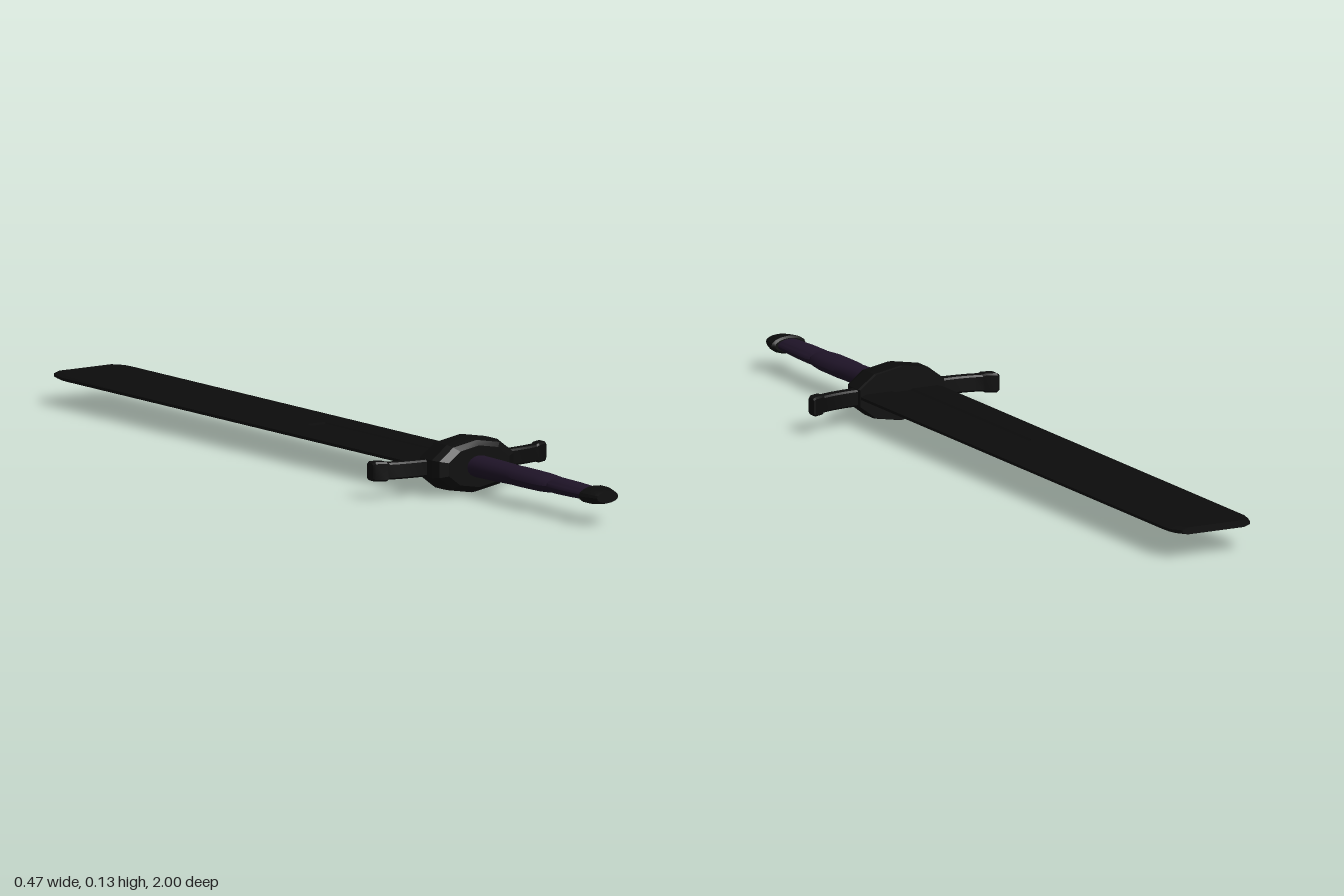
import * as THREE from 'three';
import { toCreasedNormals } from 'three/addons/utils/BufferGeometryUtils.js';

const MID = 0.065; // height of the sword's central plane

// Skin a list of equal-length rings (counter-clockwise seen from the last ring) and cap both ends
function loft(rings, crease) {
  const n = rings[0].length;
  const pos = [], idx = [];
  rings.forEach(r => r.forEach(p => pos.push(...p)));
  for (let s = 0; s < rings.length - 1; s++) {
    for (let i = 0; i < n; i++) {
      const a = s * n + i, b = s * n + (i + 1) % n;
      idx.push(a, b, b + n, a, b + n, a + n);
    }
  }
  [0, rings.length - 1].forEach((s, end) => {
    const c = pos.length / 3;
    for (let k = 0; k < 3; k++) pos.push(rings[s].reduce((t, p) => t + p[k], 0) / n);
    for (let i = 0; i < n; i++) {
      const a = s * n + i, b = s * n + (i + 1) % n;
      idx.push(...(end ? [c, a, b] : [c, b, a]));
    }
  });
  const g = new THREE.BufferGeometry();
  g.setAttribute('position', new THREE.Float32BufferAttribute(pos, 3));
  g.setIndex(idx);
  return toCreasedNormals(g, crease);
}

// Elliptical ring at depth z
function oval(z, rx, ry, n = 16) {
  return Array.from({ length: n }, (_, i) => {
    const t = i / n * Math.PI * 2;
    return [Math.cos(t) * rx, MID + Math.sin(t) * ry, z];
  });
}

// Blade cross-section with sharpened edges and a central groove of depth d
function bladeRing(z, left, right, d, tipZ = z) {
  const h = 0.008;
  const top = [[right - 0.015, h], [0.026, h], [0.021, h - d], [-0.021, h - d], [-0.026, h], [left + 0.015, h]];
  const bottom = top.map(([x, y]) => [x, -y]).reverse();
  return [[right, 0.003], ...top, [left, 0.003], [left, -0.003], ...bottom, [right, -0.003]]
    .map(([x, y]) => [x, MID + y, tipZ]);
}

export function createModel() {
  const group = new THREE.Group();
  const dark = new THREE.MeshStandardMaterial({ color: 0x0c0c0c });
  const grip = new THREE.MeshStandardMaterial({ color: 0x1f1428 });
  const add = (name, geometry, material) => {
    const mesh = new THREE.Mesh(geometry, material);
    mesh.name = name;
    group.add(mesh);
  };

  // Broad blade with a blunt, clipped tip and a groove near the guard
  add('blade', loft([
    bladeRing(-1, -0.088, 0.085, 0),
    bladeRing(-0.975, -0.097, 0.103, 0),
    bladeRing(-0.945, -0.105, 0.105, 0),
    bladeRing(-0.12, -0.105, 0.105, 0),
    bladeRing(-0.11, -0.105, 0.105, 0.003),
    bladeRing(0.45, -0.105, 0.105, 0.003),
  ], 0.1), dark);

  // Faceted guard block, rounded towards the grip
  const outline = [[0.11, -0.02], [0.11, 0.02], [0.069, 0.051], [0, 0.063],
    [-0.069, 0.051], [-0.11, 0.02], [-0.11, -0.02], [-0.069, -0.051], [0, -0.063], [0.069, -0.051]];
  add('guardBlock', loft(
    [[0.43, 0.97], [0.435, 1], [0.48, 1], [0.497, 0.92], [0.508, 0.75]]
      .map(([z, s]) => outline.map(([x, y]) => [x * s, MID + y * s, z])), 0.3), dark);

  // Curved crossguard, a single bar with thicker ends
  const half = [[0, 0.45, 0.019, 0.014], [0.1, 0.449, 0.019, 0.014], [0.14, 0.447, 0.019, 0.013],
    [0.175, 0.442, 0.019, 0.013], [0.202, 0.435, 0.019, 0.013], [0.208, 0.433, 0.022, 0.015],
    [0.232, 0.423, 0.022, 0.015], [0.237, 0.421, 0.019, 0.012]];
  const bar = [...half.slice(1).reverse().map(([x, ...r]) => [-x, ...r]), ...half];
  add('crossguard', loft(bar.map(([x, z, h, d]) => {
    const b = 0.004;
    return [[h, -d + b], [h, d - b], [h - b, d], [-h + b, d], [-h, d - b], [-h, -d + b], [-h + b, -d], [h - b, -d]]
      .map(([y, dz]) => [x, MID + y, z + dz]);
  }), 0.5), dark);

  // Oval grip with a swelling and a narrow waist
  add('grip', loft([
    [0.49, 0.033, 0.025], [0.58, 0.032, 0.024], [0.65, 0.032, 0.022], [0.68, 0.036, 0.022],
    [0.76, 0.037, 0.021], [0.79, 0.034, 0.019], [0.803, 0.028, 0.016], [0.815, 0.032, 0.018],
    [0.88, 0.032, 0.017], [0.955, 0.029, 0.014],
  ].map(s => oval(...s)), 0.6), grip);

  // Flared pommel
  add('pommel', loft([
    [0.945, 0.036, 0.016], [0.95, 0.044, 0.02], [0.962, 0.043, 0.02], [0.99, 0.034, 0.016], [1, 0.029, 0.013],
  ].map(s => oval(...s)), 0.5), dark);

  return group;
}
